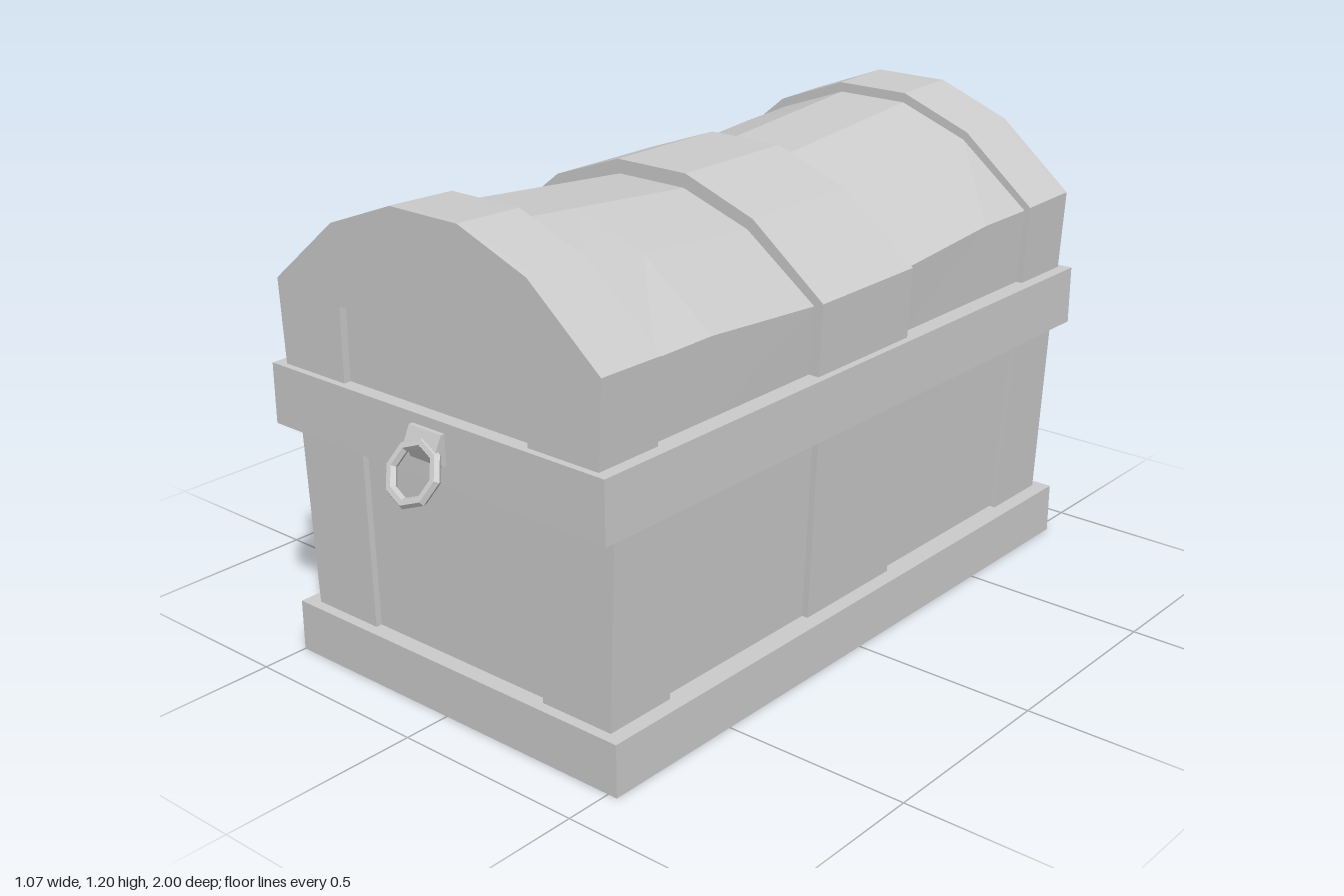
import * as THREE from 'three';

const grey = new THREE.MeshStandardMaterial({ color: 0xcccccc, flatShading: true });
const sheet = new THREE.MeshStandardMaterial({ color: 0xcccccc, flatShading: true, side: THREE.DoubleSide });

function add(parent, name, geometry, material = grey) {
  const mesh = new THREE.Mesh(geometry, material);
  mesh.name = name;
  parent.add(mesh);
  return mesh;
}

// Faceted skin through a list of sections, each a list of Vector3
function loft(sections, closed) {
  const pos = [];
  const put = (...pts) => pts.forEach(p => pos.push(p.x, p.y, p.z));
  for (let j = 0; j < sections.length - 1; j++) {
    const s = sections[j], t = sections[j + 1], n = s.length;
    for (let i = 0; i < (closed ? n : n - 1); i++) {
      const k = (i + 1) % n;
      put(s[i], t[i], t[k], s[i], t[k], s[k]);
    }
  }
  const g = new THREE.BufferGeometry();
  g.setAttribute('position', new THREE.Float32BufferAttribute(pos, 3));
  g.computeVertexNormals();
  return g;
}

function rectangle(Type, hx, hz) {
  return new Type([[-hx, -hz], [hx, -hz], [hx, hz], [-hx, hz]].map(p => new THREE.Vector2(...p)));
}

// Rectangular frame lying flat between two heights
function frame(hx, hz, ix, iz, y0, y1) {
  const shape = rectangle(THREE.Shape, hx, hz);
  shape.holes.push(rectangle(THREE.Path, ix, iz));
  const g = new THREE.ExtrudeGeometry(shape, { depth: y1 - y0, bevelEnabled: false });
  return g.rotateX(-Math.PI / 2).translate(0, y0, 0);
}

// Body outline with raised corner posts and middle straps
function bodySection(y, hx, hz, postX, postZ, strap) {
  const d = 0.016;
  const q = [[hx, strap], [hx - d, strap], [hx - d, postZ], [hx, postZ], [hx, hz], [postX, hz], [postX, hz - d]];
  const r = [...q].reverse();
  const flip = (list, sx, sz) => list.map(([x, z]) => new THREE.Vector3(x * sx, y, z * sz));
  return [...flip(q, 1, 1), ...flip(r, -1, 1), ...flip(q, -1, -1), ...flip(r, 1, -1)];
}

// Lid arch, from its +x foot over the top to its -x foot
function arch(foot, w, shoulder, top) {
  const half = [[foot, 0.74], [w, shoulder], [w * 0.6, shoulder + (top - shoulder) * 0.69], [w * 0.206, top]];
  return [...half, ...half.map(([x, y]) => [-x, y]).reverse()];
}

function addHandle(parent) {
  // Wedge-shaped mount
  const profile = new THREE.Shape([[0.895, 0.725], [0.918, 0.725], [0.935, 0.69], [0.918, 0.65], [0.895, 0.65]]
    .map(p => new THREE.Vector2(...p)));
  const mount = new THREE.ExtrudeGeometry(profile, { depth: 0.1, bevelEnabled: false });
  add(parent, 'handleMount', mount.rotateY(-Math.PI / 2).translate(0.055, 0, 0));
  // Hanging eight-sided ring
  const ring = add(parent, 'handleRing', new THREE.TorusGeometry(0.068, 0.013, 6, 8));
  ring.position.set(0.005, 0.636, 0.956);
  ring.rotation.x = -0.48;
}

export function createModel() {
  const model = new THREE.Group();
  model.name = 'chest';
  const chest = new THREE.Group();
  chest.name = 'chestParts';
  chest.position.x = 0.0125;
  model.add(chest);

  // Base and rim frames
  add(chest, 'baseFrame', frame(0.5125, 0.88, 0.45, 0.82, 0, 0.13));
  add(chest, 'rimFrame', frame(0.5175, 0.907, 0.44, 0.8, 0.6, 0.75));

  // Hollow body, slightly wider at the top
  add(chest, 'body', loft([
    bodySection(0.1, 0.472, 0.853, 0.272, 0.66, 0.163),
    bodySection(0.64, 0.496, 0.856, 0.282, 0.69, 0.165),
  ], true), sheet);

  // Lid skin: raised end bands and middle band, sagging panels between
  const end = arch(0.486, 0.498, 0.955, 1.195);
  const half = [
    [0.87, end],
    [0.71, arch(0.486, 0.498, 0.952, 1.19)],
    [0.71, arch(0.47, 0.482, 0.942, 1.165)],
    [0.53, arch(0.47, 0.482, 0.942, 1.15)],
    [0.175, arch(0.47, 0.482, 0.915, 1.12)],
    [0.175, arch(0.498, 0.507, 0.925, 1.155)],
  ];
  const stations = [...half, ...half.map(([z, a]) => [-z, a]).reverse()];
  add(chest, 'lid', loft(stations.map(([z, a]) => a.map(([x, y]) => new THREE.Vector3(x, y, z))), false), sheet);

  // Lid ends with a recessed panel, and a ring handle below each
  const recess = [[-0.287, 0.74], [-0.287, 0.93], [-0.1025, 0.963], [0.1025, 0.963], [0.287, 0.93], [0.287, 0.74]];
  const toShape = pts => new THREE.Shape(pts.map(p => new THREE.Vector2(...p)));
  for (const [name, turn] of [['front', 0], ['back', Math.PI]]) {
    const side = new THREE.Group();
    side.name = name + 'End';
    side.rotation.y = turn;
    const cap = new THREE.ExtrudeGeometry(toShape([...end, ...recess]), { depth: 0.02, bevelEnabled: false });
    add(side, 'lidEnd', cap.translate(0, 0, 0.87));
    add(side, 'lidEndPanel', new THREE.ShapeGeometry(toShape(recess)).translate(0, 0, 0.871), sheet);
    addHandle(side);
    // Keep both handles on the same side of the middle line
    if (turn) side.children.slice(2).forEach(m => { m.position.x -= 0.01; });
    chest.add(side);
  }

  // Bevelled lock plate on the long side
  const lock = add(chest, 'lockPlate', new THREE.CylinderGeometry(0.065, 0.09, 0.035, 8));
  lock.geometry.rotateY(Math.PI / 8).rotateZ(Math.PI / 2).scale(1, 0.87, 1);
  lock.position.set(-0.53, 0.678, -0.017);
  return model;
}
